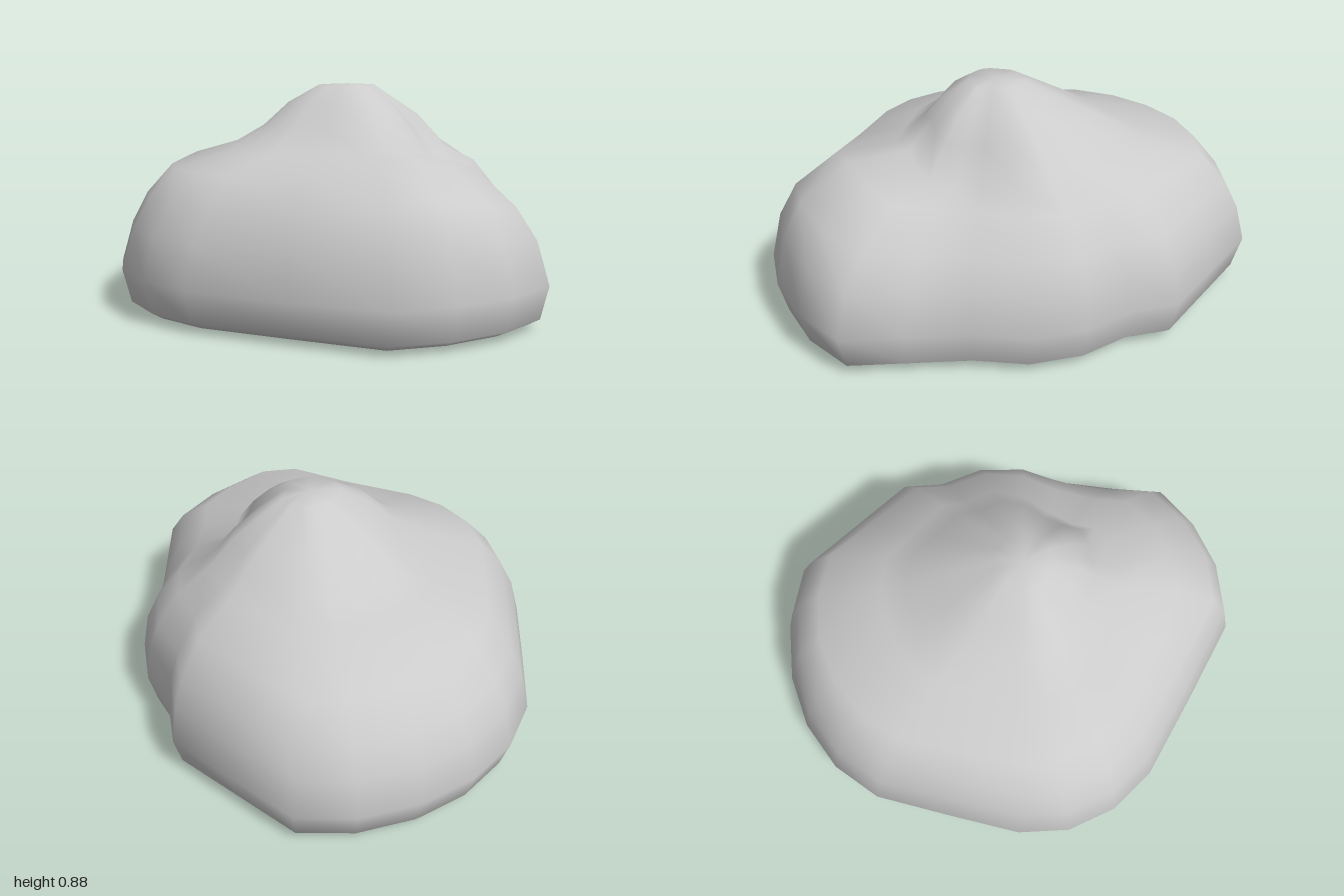
import * as THREE from 'three';

// Point below the summit; every spoke of the boulder runs out from here
const CX = 0.09, CZ = 0.06;

// Widest outline in plan, as x, z pairs from the left side round by the front
const OUTLINE = [
  [0.845, 0.03], [0.81, 0.24], [0.70, 0.43], [0.62, 0.65], [0.54, 0.87], [0.33, 0.96],
  [0.09, 0.99], [-0.14, 0.96], [-0.42, 0.70], [-0.70, 0.43], [-0.81, 0.24],
  [-0.85, 0.03], [-0.81, -0.18], [-0.67, -0.45], [-0.52, -0.73], [-0.35, -0.88],
  [-0.14, -0.97], [0.09, -1.0], [0.33, -0.97], [0.54, -0.88], [0.69, -0.62],
  [0.84, -0.36], [0.81, -0.18],
];

// Slope profiles by direction: fraction of the way out, then height
const PROFILES = [
  { deg: 0, p: [[0.16, 0.88], [0.3, 0.82], [0.45, 0.75], [0.6, 0.64], [0.77, 0.56], [0.9, 0.43], [0.96, 0.33], [1, 0.17]] },
  { deg: 52, p: [[0.13, 0.88], [0.25, 0.8], [0.36, 0.7], [0.46, 0.575], [0.66, 0.56], [0.84, 0.43], [0.94, 0.32], [1, 0.17]] },
  { deg: 90, p: [[0.12, 0.88], [0.22, 0.82], [0.29, 0.75], [0.4, 0.64], [0.66, 0.635], [0.87, 0.5], [0.95, 0.37], [1, 0.17]] },
  { deg: 137, p: [[0.13, 0.88], [0.26, 0.81], [0.36, 0.71], [0.5, 0.62], [0.74, 0.56], [0.87, 0.45], [0.95, 0.32], [1, 0.16]] },
  { deg: 180, p: [[0.13, 0.88], [0.25, 0.82], [0.36, 0.72], [0.55, 0.62], [0.77, 0.56], [0.88, 0.45], [0.95, 0.33], [1, 0.17]] },
  { deg: 270, p: [[0.1, 0.88], [0.31, 0.76], [0.44, 0.69], [0.54, 0.635], [0.81, 0.56], [0.91, 0.43], [0.96, 0.32], [1, 0.17]] },
];

// Rounded lower edge, shared by all directions
const UNDERSIDE = [[0.965, 0.04], [0.92, 0.015], [0.85, 0.01]];

// Blend the two nearest profiles for a direction
function profileAt(deg) {
  const n = PROFILES.length;
  let i = n - 1;
  while (i > 0 && PROFILES[i].deg > deg) i--;
  const a = PROFILES[i], b = PROFILES[(i + 1) % n];
  const end = i === n - 1 ? 360 : b.deg;
  const f = (deg - a.deg) / (end - a.deg);
  const slope = a.p.map(([t, y], k) => [
    THREE.MathUtils.lerp(t, b.p[k][0], f),
    THREE.MathUtils.lerp(y, b.p[k][1], f),
  ]);
  return [...slope, ...UNDERSIDE];
}

function boulderGeometry() {
  const positions = [CX, 0.885, CZ];
  const index = [];
  const spokes = OUTLINE.length;
  const rings = PROFILES[0].p.length + UNDERSIDE.length;

  // One spoke of points from summit to underside for each outline point
  for (const [x, z] of OUTLINE) {
    const dx = x - CX, dz = z - CZ;
    const deg = (THREE.MathUtils.radToDeg(Math.atan2(dz, dx)) + 360) % 360;
    for (const [t, y] of profileAt(deg)) positions.push(CX + dx * t, y, CZ + dz * t);
  }
  const base = positions.length / 3;
  positions.push(CX, 0, CZ);

  // Skin between neighbouring spokes, closed at the summit and the base
  for (let s = 0; s < spokes; s++) {
    const a = 1 + s * rings, b = 1 + ((s + 1) % spokes) * rings;
    index.push(0, b, a);
    for (let r = 0; r < rings - 1; r++) {
      index.push(a + r, b + r, a + r + 1, b + r, b + r + 1, a + r + 1);
    }
    index.push(a + rings - 1, b + rings - 1, base);
  }

  const geometry = new THREE.BufferGeometry();
  geometry.setAttribute('position', new THREE.Float32BufferAttribute(positions, 3));
  geometry.setIndex(index);
  geometry.computeVertexNormals();
  return geometry;
}

export function createModel() {
  const group = new THREE.Group();
  group.name = 'rock';
  const boulder = new THREE.Mesh(
    boulderGeometry(),
    new THREE.MeshStandardMaterial({ color: 0xcccccc }),
  );
  boulder.name = 'boulder';
  group.add(boulder);
  return group;
}
